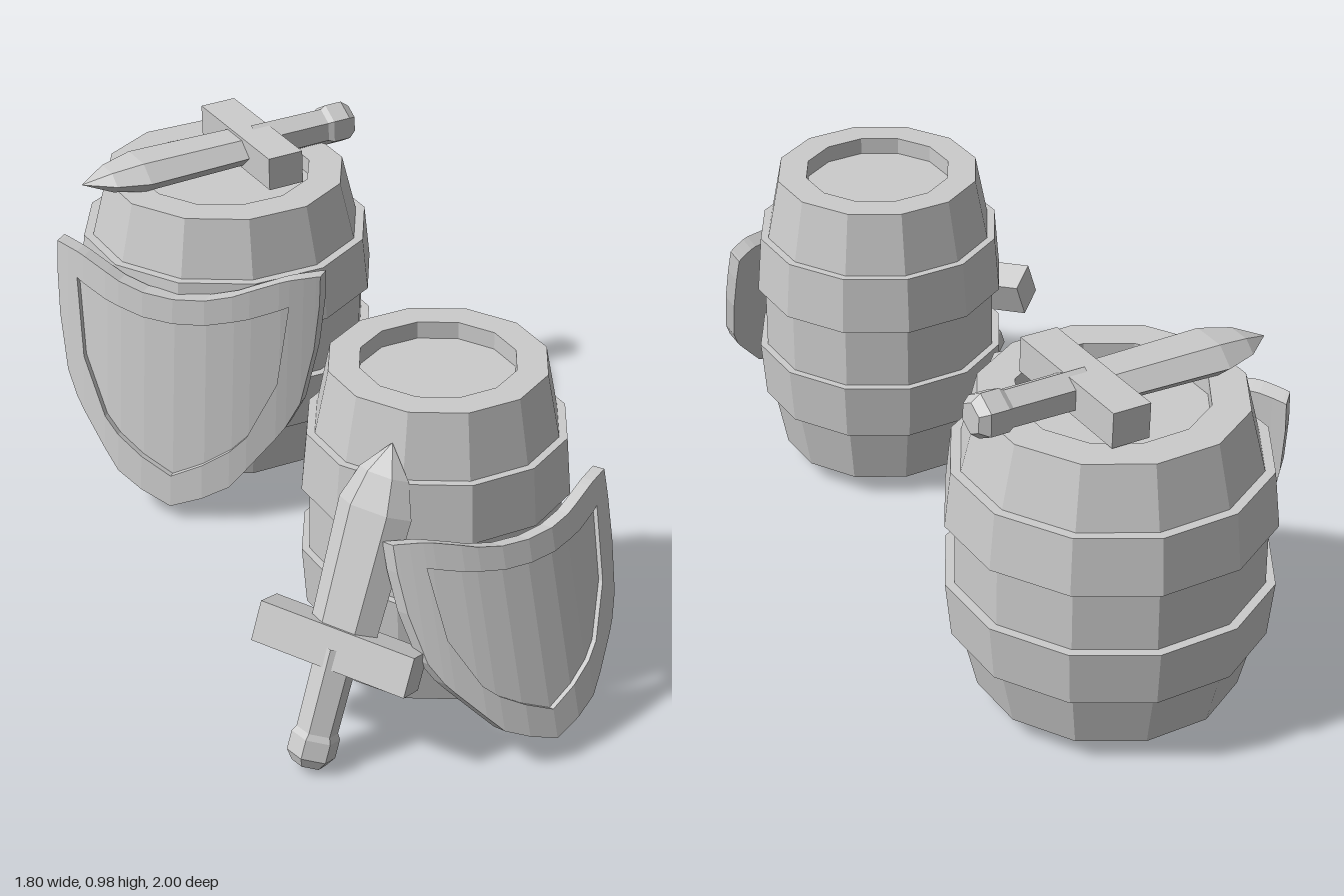
import * as THREE from 'three';

const material = new THREE.MeshStandardMaterial({ color: 0xcccccc, flatShading: true });

function part(name, geometry) {
  const g = geometry.index ? geometry.toNonIndexed() : geometry;
  g.computeVertexNormals();
  const mesh = new THREE.Mesh(g, material);
  mesh.name = name;
  return mesh;
}

const lathe = (profile, sides) =>
  new THREE.LatheGeometry(profile.map(([r, y]) => new THREE.Vector2(r, y)), sides);

// Twelve-sided barrel with two hoops and recessed ends, base at y = 0
function barrel(name) {
  const h = 0.808, depth = 0.045;
  const lower = [[0, depth], [0.245, depth], [0.245, 0], [0.342, 0], [0.383, 0.165],
    [0.409, 0.165], [0.425, 0.318], [0.4, 0.318]];
  const upper = lower.map(([r, y]) => [r, h - y]).reverse();
  return part(name, lathe([...lower, ...upper], 12));
}

// Sword along +y with the guard at the origin and the blade flat facing z
function sword(name) {
  const group = new THREE.Group();
  group.name = name;
  const blade = lathe([[0.088, 0], [0.098, 0.36], [0.066, 0.45], [0, 0.53]], 6);
  blade.rotateY(Math.PI / 2);
  blade.scale(1, 1, 0.5);
  const grip = lathe([[0.053, -0.23], [0.055, 0]], 6);
  const pommel = lathe([[0, -0.315], [0.043, -0.315], [0.062, -0.29], [0.062, -0.24],
    [0.05, -0.22], [0, -0.22]], 6);
  group.add(
    part('blade', blade),
    part('guard', new THREE.BoxGeometry(0.42, 0.105, 0.095)),
    part('grip', grip),
    part('pommel', pommel));
  return group;
}

// Point a sword along an axis, with its guard along the given direction
function aim(object, axis, guard) {
  const y = new THREE.Vector3(...axis).normalize();
  const z = new THREE.Vector3(...guard).cross(y).normalize();
  const x = new THREE.Vector3().crossVectors(y, z);
  object.quaternion.setFromRotationMatrix(new THREE.Matrix4().makeBasis(x, y, z));
}

// Bowed shield built from vertical strips, with a recessed panel; lower tip at the origin
function shield(name) {
  const X = [0, 0.09, 0.165, 0.21, 0.285, 0.31, 0.345, 0.375, 0.385];
  const bottom = [0, 0.035, 0.075, 0.13, 0.225, 0.26, 0.33, 0.49, 0.62];
  const top = [0.627, 0.633, 0.65, 0.667, 0.692, 0.698, 0.702, 0.705, 0.705];
  const panelBottom = [0.093, 0.137, 0.185, 0.23, 0.39, 0.62];
  const panelTop = [0.555, 0.56, 0.575, 0.585, 0.61, 0.62];
  const last = X.length - 1, thickness = 0.055, recess = 0.02;
  const pos = [];
  const quad = (a, b, c, d) => pos.push(...a, ...b, ...c, ...a, ...c, ...d);
  // Point on column i (negative is mirrored), from a height table and a depth
  const at = (i, table, d) => {
    const k = Math.abs(i), x = Math.sign(i) * X[k];
    return [x, table[k], -0.12 * (x / 0.385) ** 2 - d];
  };
  // Strip between columns i and i + 1 joining two edges
  const strip = (i, t0, d0, t1, d1) =>
    quad(at(i, t0, d0), at(i + 1, t0, d0), at(i + 1, t1, d1), at(i, t1, d1));

  for (let i = -last; i < last; i++) {
    strip(i, top, thickness, bottom, thickness);
    strip(i, bottom, thickness, bottom, 0);
    strip(i, top, 0, top, thickness);
    if (Math.max(Math.abs(i), Math.abs(i + 1)) < panelTop.length) {
      strip(i, bottom, 0, panelBottom, 0);
      strip(i, panelBottom, 0, panelBottom, recess);
      strip(i, panelBottom, recess, panelTop, recess);
      strip(i, panelTop, recess, panelTop, 0);
      strip(i, panelTop, 0, top, 0);
    } else {
      strip(i, bottom, 0, top, 0);
    }
  }
  // Short upright ends
  quad(at(last, bottom, 0), at(last, bottom, thickness), at(last, top, thickness), at(last, top, 0));
  quad(at(-last, bottom, thickness), at(-last, bottom, 0), at(-last, top, 0), at(-last, top, thickness));

  const g = new THREE.BufferGeometry();
  g.setAttribute('position', new THREE.Float32BufferAttribute(pos, 3));
  return part(name, g);
}

export function createModel() {
  const model = new THREE.Group();
  model.name = 'barrelsWithSwordsAndShields';

  // Wide barrel at the back, narrow barrel at the front
  const wideBarrel = barrel('wideBarrel');
  wideBarrel.position.set(-0.492, 0.055, -0.578);
  const narrowBarrel = barrel('narrowBarrel');
  narrowBarrel.position.set(0.393, 0.055, 0.385);
  narrowBarrel.scale.set(0.82, 1.033, 0.82);

  // Sword lying on the wide barrel
  const lyingSword = sword('lyingSword');
  aim(lyingSword, [-0.6, -0.02, 0.61], [0.6, 0, 0.6]);
  lyingSword.position.set(-0.437, 0.914, -0.656);

  // Sword leaning point-up on the narrow barrel
  const leaningSword = sword('leaningSword');
  aim(leaningSword, [0.13, 0.79, -0.27], [0.4, -0.07, 0.08]);
  leaningSword.position.set(0.277, 0.31, 0.845);

  // Shields leaning on the barrels
  const largeShield = shield('largeShield');
  largeShield.position.set(-0.493, 0.045, -0.058);
  largeShield.rotation.x = -0.105;
  const smallShield = shield('smallShield');
  smallShield.position.set(0.81, 0.067, 0.735);
  smallShield.rotation.set(-0.28, 0.887, 0, 'YXZ');
  smallShield.scale.setScalar(0.84);

  model.add(wideBarrel, narrowBarrel, lyingSword, leaningSword, largeShield, smallShield);
  return model;
}
